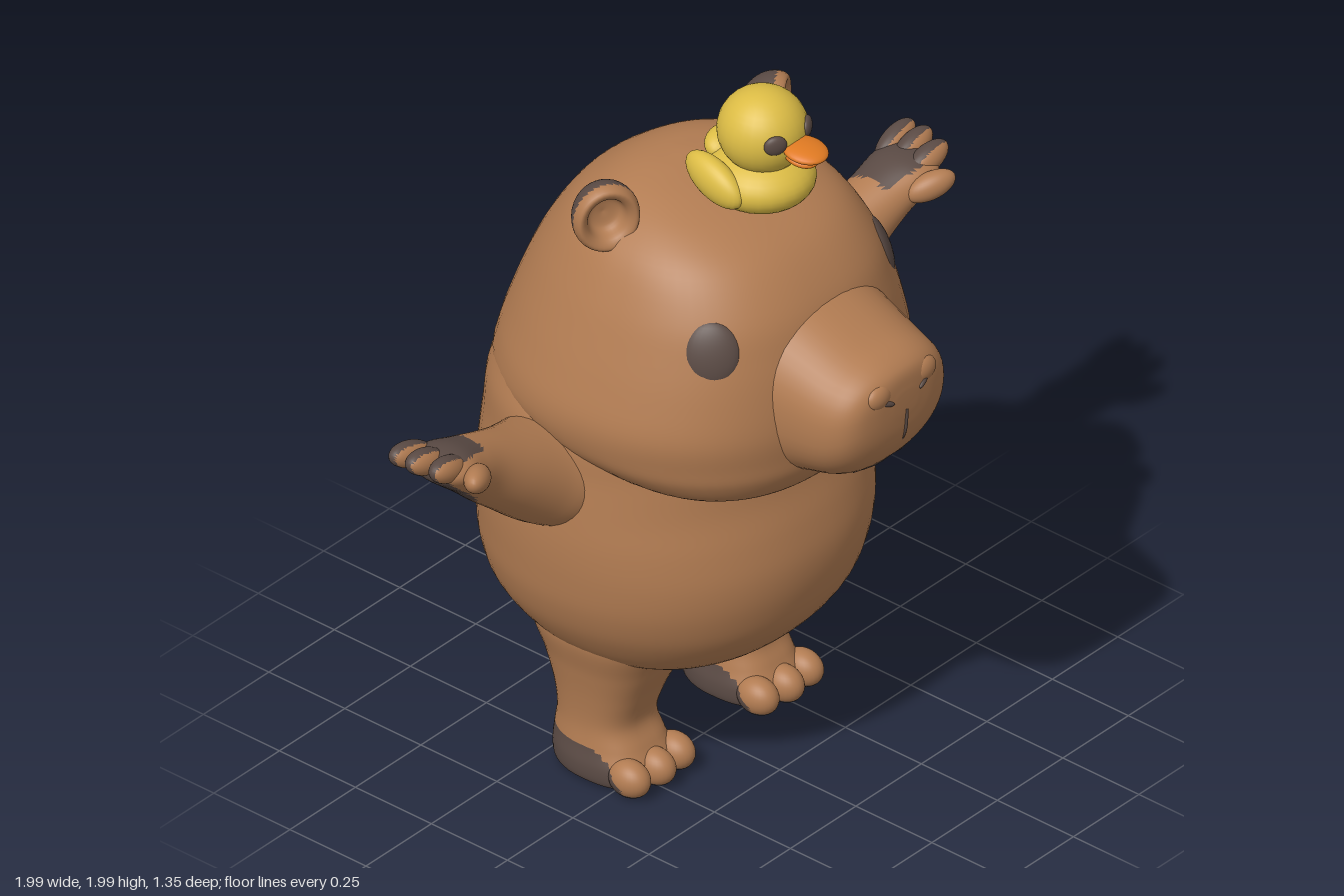
import * as THREE from 'three';

const mat = (name, color) => {
  const m = new THREE.MeshStandardMaterial({ color });
  m.name = name;
  return m;
};

// Closed smooth surface through key sections; place(values, angle) gives a point [x, y, z]
function loft(keys, place, sides = 48, steps = 5) {
  const w = keys[0].length;
  const curve = new THREE.CubicInterpolant(keys.map((_, i) => i), keys.flat(), w, new Float32Array(w));
  const pos = [], idx = [];
  const rows = (keys.length - 1) * steps + 1;
  for (let r = 0; r < rows; r++) {
    const v = Array.from(curve.evaluate(r / steps));
    for (let i = 0; i < sides; i++) pos.push(...place(v, (i / sides) * Math.PI * 2));
  }
  for (let r = 0; r < rows - 1; r++) {
    for (let i = 0; i < sides; i++) {
      const j = (i + 1) % sides, a = r * sides + i, b = r * sides + j;
      idx.push(a, a + sides, b, b, a + sides, b + sides);
    }
  }
  // end caps
  [0, rows - 1].forEach((r, end) => {
    const c = [0, 0, 0], n = pos.length / 3;
    for (let i = 0; i < sides; i++) for (let k = 0; k < 3; k++) c[k] += pos[(r * sides + i) * 3 + k] / sides;
    pos.push(...c);
    for (let i = 0; i < sides; i++) {
      const a = r * sides + i, b = r * sides + (i + 1) % sides;
      idx.push(...(end ? [n, b, a] : [n, a, b]));
    }
  });
  // turn the faces outward
  const P = (i) => new THREE.Vector3().fromArray(pos, i * 3);
  let volume = 0;
  for (let i = 0; i < idx.length; i += 3) volume += P(idx[i]).dot(P(idx[i + 1]).cross(P(idx[i + 2])));
  if (volume < 0) idx.reverse();
  const g = new THREE.BufferGeometry();
  g.setAttribute('position', new THREE.Float32BufferAttribute(pos, 3));
  g.setIndex(idx);
  g.computeVertexNormals();
  return g;
}

// Superellipse coordinates for rounded sections
const pow = (v, n) => Math.sign(v) * Math.abs(v) ** (2 / n);
const oval = (a, n) => [pow(Math.cos(a), n), pow(Math.sin(a), n)];

// Horizontal section: [y, halfWidth, zBack, zFront, xCentre]
const slab = (s, nFront) => ([y, w, zb, zf, xc = 0], a) => {
  const [u, v] = oval(a, Math.sin(a) > 0 ? nFront : 2);
  return [s * xc + w * u, y, (zb + zf) / 2 + ((zf - zb) / 2) * v];
};

function ball(p, r, rot = [0, 0, 0]) {
  const g = new THREE.SphereGeometry(1, 28, 20);
  g.scale(...r);
  g.applyMatrix4(new THREE.Matrix4().makeRotationFromEuler(new THREE.Euler(...rot, 'YXZ')));
  return g.translate(...p);
}

// Splits faces into two material groups: rule(centre, normal) true goes to the second
function paint(g, rule) {
  const lists = [[], []], id = g.index.array, { position, normal } = g.attributes;
  const mean = (attr, i) => {
    const m = new THREE.Vector3();
    for (let k = 0; k < 3; k++) m.add(new THREE.Vector3().fromBufferAttribute(attr, id[i + k]));
    return m.divideScalar(3);
  };
  for (let i = 0; i < id.length; i += 3) {
    lists[rule(mean(position, i), mean(normal, i)) ? 1 : 0].push(id[i], id[i + 1], id[i + 2]);
  }
  g.setIndex(lists.flat());
  g.clearGroups();
  g.addGroup(0, lists[0].length, 0);
  g.addGroup(lists[0].length, lists[1].length, 1);
  return g;
}

export function createModel() {
  const model = new THREE.Group();
  model.name = 'capybara';
  const brown = mat('brown fur', 0xb27c52), dark = mat('dark brown', 0x5a4a44);
  const yellow = mat('duck yellow', 0xdcbc45), orange = mat('beak orange', 0xe07a22);
  const two = [brown, dark];
  const add = (name, g, m, parent = model) => {
    const mesh = new THREE.Mesh(g, m);
    mesh.name = name;
    parent.add(mesh);
  };

  // Torso
  add('torso', loft([
    [0.3, 0.08, -0.15, 0], [0.33, 0.24, -0.3, 0.12], [0.4, 0.37, -0.44, 0.25], [0.5, 0.45, -0.55, 0.335],
    [0.6, 0.49, -0.58, 0.37], [0.7, 0.505, -0.583, 0.378], [0.8, 0.51, -0.578, 0.36], [0.9, 0.505, -0.565, 0.33],
    [1.0, 0.495, -0.552, 0.31], [1.1, 0.49, -0.535, 0.28], [1.18, 0.46, -0.5, 0.2],
  ], slab(1, 2.2), 64), brown);

  // Head with overhanging jaw
  add('head', loft([
    [0.945, 0.12, 0, 0.3], [0.96, 0.27, -0.1, 0.37], [1.0, 0.39, -0.22, 0.43], [1.06, 0.465, -0.42, 0.465],
    [1.12, 0.496, -0.53, 0.475], [1.2, 0.502, -0.52, 0.48], [1.3, 0.475, -0.488, 0.47], [1.4, 0.44, -0.45, 0.45],
    [1.5, 0.4, -0.4, 0.415], [1.6, 0.345, -0.33, 0.335], [1.66, 0.28, -0.262, 0.235], [1.7, 0.2, -0.2, 0.11],
    [1.722, 0.11, -0.14, 0.0], [1.73, 0.02, -0.08, -0.05],
  ], slab(1, 2.4), 64), brown);

  // Snout sections: [z, halfWidth, yTop, yBottom]
  add('snout', loft([
    [0.33, 0.26, 1.53, 0.99], [0.45, 0.235, 1.475, 1.03], [0.55, 0.22, 1.43, 1.06], [0.61, 0.2, 1.41, 1.1],
    [0.645, 0.165, 1.39, 1.15], [0.662, 0.11, 1.365, 1.2], [0.668, 0.04, 1.32, 1.26],
  ], ([z, w, t, b], a) => {
    const [u, v] = oval(a, 2.3);
    return [w * u, (t + b) / 2 + ((t - b) / 2) * v, z];
  }), brown);
  const line = (pts, r) => new THREE.TubeGeometry(
    new THREE.CatmullRomCurve3(pts.map((p) => new THREE.Vector3(...p))), 16, r, 6);
  add('lipGroove', line([[0, 1.27, 0.667], [0, 1.2, 0.661], [0, 1.12, 0.622]], 0.005), dark);

  for (const s of [1, -1]) {
    const side = s > 0 ? 'left' : 'right';
    // Face details
    add(side + 'Mouth', line([[0, 1.12, 0.622], [s * 0.05, 1.105, 0.609], [s * 0.1, 1.09, 0.575]], 0.005), dark);
    add(side + 'NostrilWing', ball([s * 0.085, 1.335, 0.645], [0.045, 0.035, 0.025]), brown);
    add(side + 'Nostril', ball([s * 0.07, 1.315, 0.662], [0.025, 0.008, 0.008], [0, s * 0.3, s * 0.4]), dark);
    add(side + 'Eye', ball([s * 0.32, 1.435, 0.3], [0.074, 0.086, 0.03], [-0.3, s * 0.92, 0]), dark);

    // Cupped ear: [radius, depth], dark behind
    const ear = loft([
      [0.005, -0.085], [0.05, -0.075], [0.085, -0.04], [0.097, 0.0], [0.085, 0.03],
      [0.062, 0.02], [0.045, -0.015], [0.004, -0.025],
    ], ([r, h], a) => [r * 0.9 * Math.cos(a), r * Math.sin(a), h], 32);
    paint(ear, (p, n) => n.z < 0.1 && p.z < 0.012);
    ear.rotateY(s * 0.55).translate(s * 0.322, 1.697, -0.045);
    add(side + 'Ear', ear, two);

    // Arm sections: [x, y, z, radius, zRadius]
    const tube = ([x, y, z, r, rz], a) => [
      s * (x - 0.45 * r * Math.sin(a)), y + 0.9 * r * Math.sin(a), z + rz * Math.cos(a)];
    const arm = loft([
      [0.32, 0.93, -0.14, 0.17, 0.19], [0.43, 0.965, -0.14, 0.15, 0.175], [0.52, 1.0, -0.14, 0.13, 0.145],
      [0.62, 1.055, -0.13, 0.107, 0.115], [0.72, 1.115, -0.12, 0.088, 0.092], [0.8, 1.165, -0.11, 0.07, 0.09],
      [0.87, 1.205, -0.1, 0.055, 0.095], [0.92, 1.225, -0.1, 0.035, 0.08], [0.94, 1.235, -0.1, 0.01, 0.04],
    ], tube, 40, 6);
    add(side + 'Arm', paint(arm, (p, n) => Math.abs(p.x) > 0.765 && n.z < 0.45), two);
    // Fingers: [x, y, z, length, yaw]
    [[0.925, 1.237, -0.168, 0.075, 0.05], [0.93, 1.24, -0.115, 0.07, 0], [0.915, 1.235, -0.055, 0.07, -0.1],
      [0.865, 1.205, 0.0, 0.068, -0.55]].forEach(([x, y, z, l, yaw], i) => {
      const g = ball([s * x, y, z], [l, 0.036, 0.034], [0, s * yaw, s * 0.33]);
      add(side + 'Finger' + (i + 1), paint(g, (p, n) => i < 3 && n.z < 0.5), two);
    });

    // Leg, heel and sole: [y, halfWidth, zBack, zFront, xCentre]
    const sole = (p) => p.y < 0.022 || (p.z < 0.045 && p.y < 0.108 - Math.max(0, p.z + 0.05) * 0.7);
    const leg = loft([
      [0.006, 0.105, -0.235, 0.04, 0.245], [0.02, 0.122, -0.25, 0.06, 0.245], [0.06, 0.125, -0.253, 0.06, 0.245],
      [0.11, 0.115, -0.248, 0.035, 0.245], [0.17, 0.11, -0.24, 0.01, 0.245], [0.25, 0.125, -0.255, 0.03, 0.238],
      [0.34, 0.155, -0.29, 0.065, 0.225], [0.45, 0.18, -0.33, 0.1, 0.225], [0.52, 0.14, -0.28, 0.05, 0.225],
    ], slab(s, 2.8), 48, 7);
    add(side + 'Leg', paint(leg, sole), two);
    [0.16, 0.245, 0.33].forEach((x, i) => {
      const g = ball([s * x, 0.052, i === 1 ? 0.05 : 0.04], [0.045, 0.05, 0.06]);
      add(side + 'Toe' + (i + 1), paint(g, sole), two);
    });
  }

  // Tail
  add('tailBase', ball([0, 0.525, -0.56], [0.085, 0.08, 0.085], [0.5, 0, 0]), brown);
  add('tailTip', ball([0, 0.48, -0.59], [0.086, 0.083, 0.083]), dark);

  // Toy duck on the head
  const duck = new THREE.Group();
  duck.name = 'toyDuck';
  duck.position.set(0.022, 0, 0);
  model.add(duck);
  add('duckBody', ball([0, 1.745, 0.165], [0.14, 0.082, 0.145]), yellow, duck);
  add('duckHead', ball([0, 1.883, 0.175], [0.115, 0.113, 0.117]), yellow, duck);
  add('duckTail', ball([0, 1.79, 0.055], [0.065, 0.035, 0.05], [0.5, 0, 0]), yellow, duck);
  add('duckUpperBeak', ball([0, 1.878, 0.315], [0.054, 0.018, 0.062], [0.1, 0, 0]), orange, duck);
  add('duckLowerBeak', ball([0, 1.855, 0.3], [0.04, 0.016, 0.05], [0.2, 0, 0]), orange, duck);
  for (const s of [1, -1]) {
    const side = s > 0 ? 'Left' : 'Right';
    add('duck' + side + 'Wing', ball([s * 0.12, 1.765, 0.12], [0.04, 0.055, 0.1], [0.3, s * 0.1, 0]), yellow, duck);
    add('duck' + side + 'Eye', ball([s * 0.06, 1.9, 0.268], [0.03, 0.027, 0.014], [0, s * 0.58, 0]), dark, duck);
  }
  return model;
}
